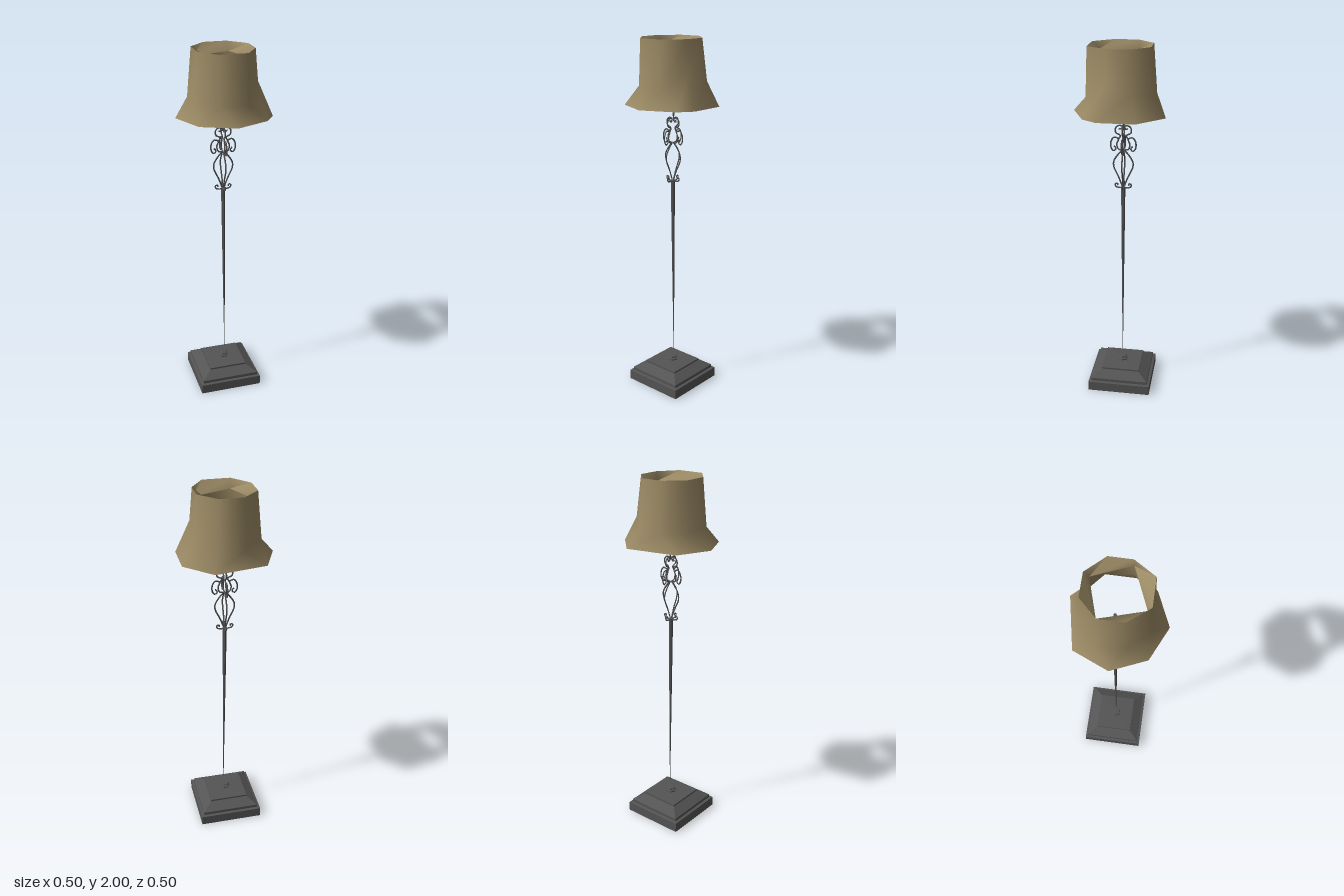
import * as THREE from 'three';

const CX = 0.01, CZ = -0.015; // axis of the stand

export function createModel() {
  const model = new THREE.Group();
  const iron = new THREE.MeshStandardMaterial({ color: 0x545454, side: THREE.DoubleSide });
  iron.name = 'dark iron';
  const fabric = new THREE.MeshStandardMaterial({ color: 0x9a8964, side: THREE.DoubleSide });
  fabric.name = 'tan fabric';

  const add = (name, geometry, material, parent = model) => {
    const mesh = new THREE.Mesh(geometry, material);
    mesh.name = name;
    parent.add(mesh);
    return mesh;
  };
  const faceted = (geometry) => {
    const g = geometry.toNonIndexed();
    g.computeVertexNormals();
    return g;
  };
  const turned = (profile, sides, scale = 1) => faceted(new THREE.LatheGeometry(
    profile.map(([r, y]) => new THREE.Vector2(r * scale, y)), sides, Math.PI / sides));

  const stand = new THREE.Group();
  stand.name = 'stand';
  stand.position.set(CX, 0, CZ);
  model.add(stand);

  // Hollow stepped square base, profile given as half widths
  add('base', turned([[0.18, 0], [0.18, 0.055], [0.165, 0.058], [0.165, 0.075],
    [0.11, 0.108], [0.11, 0.118], [0, 0.12]], 4, Math.SQRT2), iron, stand);
  add('baseKnob', turned([[0.018, 0.118], [0.03, 0.124], [0.03, 0.13], [0.018, 0.134],
    [0.026, 0.14], [0.024, 0.146], [0, 0.147]], 6), iron, stand);

  // Pole narrowing to a fine tip, leaning slightly
  const pole = new THREE.CylinderGeometry(0.012, 0.0012, 1.04, 6);
  pole.translate(0, 0.71, 0);
  const p = pole.attributes.position;
  for (let i = 0; i < p.count; i++) p.setX(i, p.getX(i) + 0.009 * (1.23 - p.getY(i)) / 1.04);
  add('pole', faceted(pole), iron, stand);

  // Short stem reaching up into the shade
  const stem = new THREE.CylinderGeometry(0.009, 0.003, 0.15, 6);
  stem.translate(0.004, 1.635, 0);
  add('shadeStem', faceted(stem), iron, stand);

  // Four-way wrought scrollwork, each path as [radius, height]
  const paths = {
    footCurl: [[0.004, 1.225], [0.022, 1.225], [0.04, 1.23], [0.044, 1.245], [0.032, 1.248], [0.03, 1.238]],
    cageBar: [[0.006, 1.235], [0.025, 1.285], [0.052, 1.345], [0.052, 1.375], [0.028, 1.415], [0.005, 1.44]],
    sideScroll: [[0.005, 1.44], [0.028, 1.445], [0.035, 1.475], [0.026, 1.5], [0.05, 1.51], [0.067, 1.485],
      [0.066, 1.45], [0.052, 1.434], [0.04, 1.447], [0.05, 1.462]],
    topScroll: [[0.026, 1.5], [0.016, 1.52], [0.04, 1.535], [0.042, 1.56], [0.028, 1.574], [0.006, 1.572],
      [0.012, 1.556], [0.024, 1.558]],
  };
  for (let i = 0; i < 4; i++) {
    const arm = new THREE.Group();
    arm.name = 'scrollArm';
    arm.rotation.y = i * Math.PI / 2;
    stand.add(arm);
    for (const [name, pts] of Object.entries(paths)) {
      const curve = new THREE.CatmullRomCurve3(pts.map(([r, y]) => new THREE.Vector3(r, y, 0)));
      add(name, new THREE.TubeGeometry(curve, 24, 0.0042, 4), iron, arm);
    }
  }

  // Shade: irregular eight-sided rings as [x, y, z]
  const hem = [[0.25, 1.65, -0.11], [0.25, 1.65, 0.09], [0.195, 1.65, 0.17], [0.01, 1.65, 0.25],
    [-0.17, 1.65, 0.17], [-0.25, 1.65, -0.01], [-0.17, 1.65, -0.195], [0.11, 1.65, -0.25]];
  const waist = [[0.185, 1.78, -0.085], [0.178, 1.83, 0.05], [0.09, 1.74, 0.17], [-0.06, 1.74, 0.17],
    [-0.168, 1.74, 0.06], [-0.168, 1.74, -0.08], [-0.06, 1.74, -0.185], [0.08, 1.74, -0.19]];
  const rim = [[0.162, 2, -0.07], [0.162, 2, 0.05], [0.09, 2, 0.16], [-0.06, 2, 0.16],
    [-0.145, 2, 0.055], [-0.145, 2, -0.075], [-0.055, 2, -0.165], [0.07, 2, -0.165]];
  // Inner fold: corners of a square, each shared by two rim points
  const corners = [[0.158, 1.95, 0.053], [-0.055, 1.95, 0.14], [-0.14, 1.95, -0.075], [0.075, 1.95, -0.14]];
  const fold = rim.map((_, i) => corners[Math.floor(((i + 7) % 8) / 2)]);

  const skin = (rings) => {
    const index = [];
    for (let r = 0; r < rings.length - 1; r++) {
      for (let i = 0; i < 8; i++) {
        const a = r * 8 + i, b = r * 8 + (i + 1) % 8;
        index.push(a, a + 8, b, b, a + 8, b + 8);
      }
    }
    const g = new THREE.BufferGeometry();
    g.setAttribute('position', new THREE.Float32BufferAttribute(rings.flat(2), 3));
    g.setIndex(index);
    g.computeVertexNormals();
    return g;
  };
  add('lampShade', skin([hem, waist, rim]), fabric);
  add('shadeInnerFold', skin([rim, fold]), fabric);

  return model;
}
